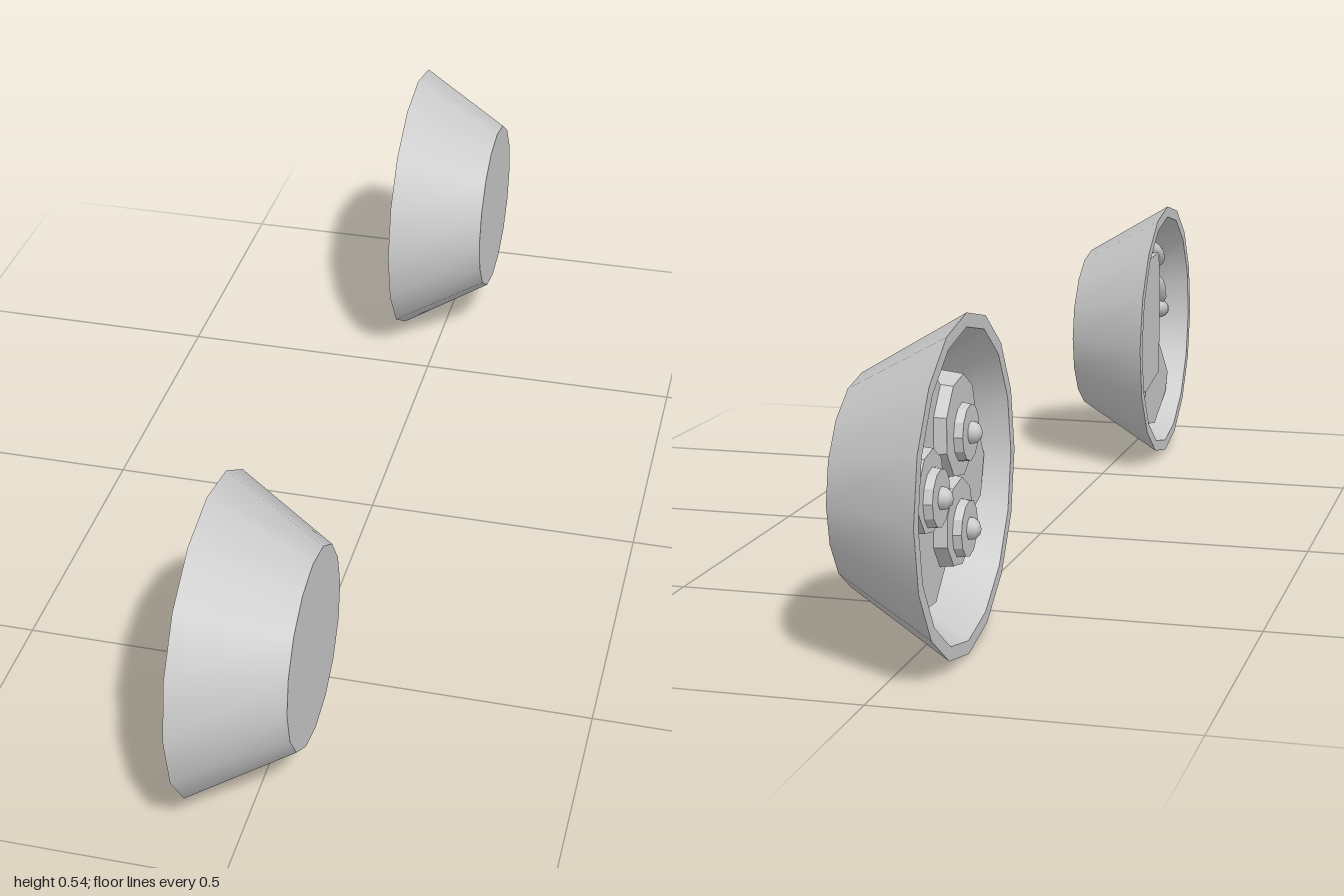
import * as THREE from 'three';

const material = new THREE.MeshStandardMaterial({ color: 0xcccccc });
const flat = new THREE.MeshStandardMaterial({ color: 0xcccccc, flatShading: true });

function add(parent, name, geometry, mat = flat) {
  const mesh = new THREE.Mesh(geometry, mat);
  mesh.name = name;
  parent.add(mesh);
  return mesh;
}

// Tapered bowl on its side: base at +x, opening towards -x.
// Each run of the profile is its own lathe, so edges between runs stay sharp.
function makeBowl(name) {
  const bowl = new THREE.Group();
  bowl.name = name;
  const runs = {
    bowlBase: [[0, 0], [0.168, 0]],
    bowlOuterWall: [[0.168, 0], [0.268, 0.168]],
    bowlRim: [[0.268, 0.168], [0.246, 0.168]],
    bowlInside: [[0.246, 0.168], [0.2, 0.09], [0.158, 0.025], [0, 0.018]],
  };
  for (const [part, points] of Object.entries(runs)) {
    const geometry = new THREE.LatheGeometry(points.map(p => new THREE.Vector2(...p)), 16);
    geometry.rotateZ(Math.PI / 2).translate(0.09, 0, 0);
    add(bowl, part, geometry, material);
  }
  return bowl;
}

// Flat slab from a [z, y] outline; its face looks towards -x at the given x.
function addSlab(parent, name, outline, faceX, depth) {
  const shape = new THREE.Shape(outline.map(p => new THREE.Vector2(...p)));
  const geometry = new THREE.ExtrudeGeometry(shape, { depth, bevelEnabled: false });
  geometry.rotateY(-Math.PI / 2).translate(faceX + depth, 0, 0);
  return add(parent, name, geometry);
}

// Disc with its axis along x, its face looking towards -x at the given x.
function addDisc(parent, name, radius, sides, faceX, depth, y, z) {
  const geometry = new THREE.CylinderGeometry(radius * 0.95, radius, depth, sides);
  geometry.rotateZ(Math.PI / 2).translate(faceX + depth / 2, y, z);
  return add(parent, name, geometry);
}

export function createModel() {
  const model = new THREE.Group();
  model.name = 'twoFilledBowls';

  // Back bowl: three leaves fanned out below three stepped slices
  const back = makeBowl('backBowl');
  back.position.set(0, 0.268, -0.732);
  model.add(back);
  const leaf = [[0.02, -0.04], [0.13, -0.085], [0.2, -0.065], [0.22, 0], [0.16, 0.085], [0.08, 0.1], [0.02, 0.04]];
  [0, 125, 232].forEach((degrees, i) => {
    const slab = addSlab(back, 'leaf', leaf, -0.04 + i * 0.002, 0.02);
    slab.rotation.x = -THREE.MathUtils.degToRad(degrees);
  });
  // y, z, radius of each slice
  const slices = [[0.075, 0.04, 0.085], [0.008, -0.115, 0.068], [-0.075, 0.03, 0.074]];
  for (const [y, z, radius] of slices) {
    addDisc(back, 'slice', radius, 9, -0.058, 0.035, y + 0.01, z - 0.005);
    addDisc(back, 'sliceCore', 0.047, 12, -0.072, 0.016, y, z);
    const knob = add(back, 'sliceKnob', new THREE.SphereGeometry(0.018, 8, 6), material);
    knob.position.set(-0.073, y, z);
  }

  // Front bowl: two slabs and three small oval pieces
  const front = makeBowl('frontBowl');
  front.position.set(-0.007, 0.268, 0.736);
  front.scale.setScalar(0.985);
  model.add(front);
  addSlab(front, 'upperSlab', [
    [-0.19, -0.09], [-0.124, -0.117], [0.01, -0.095], [0.015, 0.07],
    [0, 0.168], [-0.094, 0.166], [-0.184, 0.097],
  ], -0.06, 0.035);
  addSlab(front, 'lowerSlab', [
    [-0.08, -0.165], [-0.03, -0.205], [0.03, -0.215], [0.145, -0.165], [0.165, -0.125],
    [0.09, -0.06], [0.07, -0.045], [0.02, 0], [-0.06, -0.08],
  ], -0.048, 0.02);
  // y, z, tilt of each oval
  for (const [y, z, tilt] of [[0.16, 0.03, 0.5], [0.08, 0.054, 0.79], [0.033, 0.078, 0.16]]) {
    const oval = add(front, 'ovalPiece', new THREE.SphereGeometry(1, 12, 8), material);
    oval.scale.set(0.022, 0.02, 0.055);
    oval.position.set(-0.043, y, z);
    oval.rotation.x = tilt;
  }
  return model;
}
